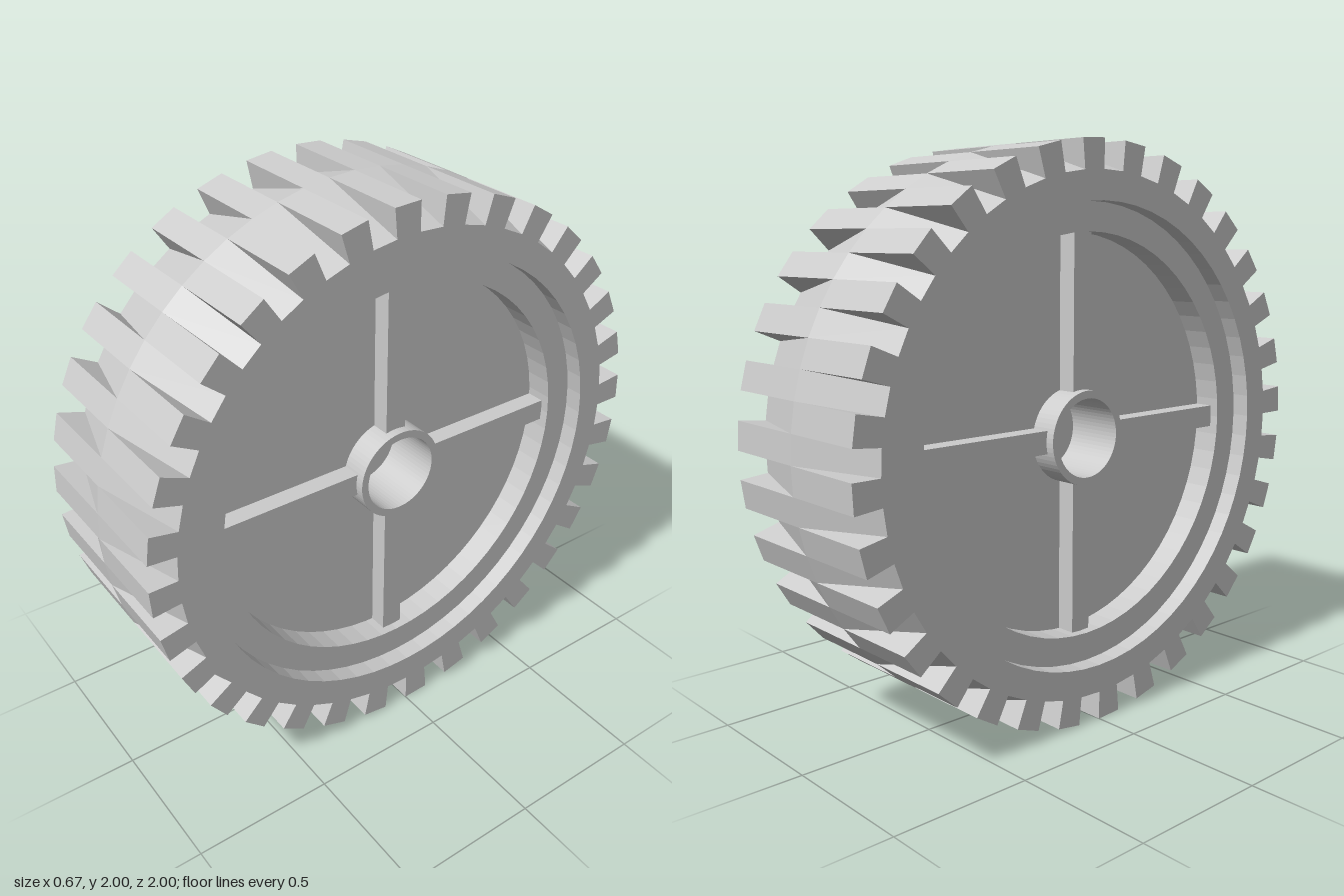
import * as THREE from 'three';

const HALF = 0.333;   // half the wheel's width
const ROOT = 0.9;     // radius at the bottom of the tread grooves
const SECTORS = 64;   // alternating lugs and grooves

const material = new THREE.MeshStandardMaterial({ color: 0xcccccc, flatShading: true });

function addMesh(parent, name, geometry) {
  const mesh = new THREE.Mesh(geometry, material);
  mesh.name = name;
  parent.add(mesh);
  return mesh;
}

// Half of the tread: lugs alternate with grooves that ramp up to the centre line
function treadGeometry() {
  const positions = [];
  const point = (x, r, a) => [x, r * Math.sin(a), r * Math.cos(a)];
  const tri = (a, b, c) => positions.push(...a, ...b, ...c);
  const quad = (a, b, c, d) => { tri(a, b, c); tri(a, c, d); };

  for (let k = 0; k < SECTORS; k++) {
    const a0 = (k / SECTORS) * Math.PI * 2;
    const a1 = ((k + 1) / SECTORS) * Math.PI * 2;
    const groove = k % 2 === 0;
    const edge = groove ? ROOT : 1;
    // Running surface of the lug, or sloping floor of the groove
    quad(point(0, 1, a0), point(HALF, edge, a0), point(HALF, edge, a1), point(0, 1, a1));
    if (groove) {
      // Triangular side walls of the groove
      tri(point(0, 1, a0), point(HALF, 1, a0), point(HALF, ROOT, a0));
      tri(point(0, 1, a1), point(HALF, ROOT, a1), point(HALF, 1, a1));
    } else {
      // Flat end of the lug
      quad(point(HALF, 1, a0), point(HALF, ROOT, a0), point(HALF, ROOT, a1), point(HALF, 1, a1));
    }
  }
  const geometry = new THREE.BufferGeometry();
  geometry.setAttribute('position', new THREE.Float32BufferAttribute(positions, 3));
  geometry.computeVertexNormals();
  return geometry;
}

// Stepped face turned round the axle, listed from the outside in: radius, x
function turned(profile) {
  const points = profile.map(([r, x]) => new THREE.Vector2(r, x));
  return new THREE.LatheGeometry(points, SECTORS).rotateZ(-Math.PI / 2);
}

function createSide() {
  const side = new THREE.Group();
  addMesh(side, 'tread', treadGeometry());
  addMesh(side, 'rimAndWeb', turned([
    [ROOT, HALF], [0.8, HALF], [0.8, 0.267], [0.7, 0.267], [0.7, 0.167], [0.15, 0.167],
  ]));
  addMesh(side, 'hub', turned([
    [0.165, 0.167], [0.165, 0.267], [0.138, 0.267], [0.138, 0.05], [0, 0.05],
  ]));

  // Four spokes standing out from the web
  const inner = 0.15, outer = 0.702;
  for (let i = 0; i < 4; i++) {
    const geometry = new THREE.BoxGeometry(0.08, outer - inner, 0.08);
    geometry.translate(0.195, (inner + outer) / 2, 0);
    addMesh(side, 'spoke', geometry).rotation.x = (i * Math.PI) / 2;
  }
  return side;
}

export function createModel() {
  const wheel = new THREE.Group();
  wheel.name = 'wheel';

  // Both sides are alike, one turned half round the vertical
  ['leftSide', 'rightSide'].forEach((name, i) => {
    const side = createSide();
    side.name = name;
    side.position.y = 1;
    side.rotation.y = i * Math.PI;
    wheel.add(side);
  });
  return wheel;
}
